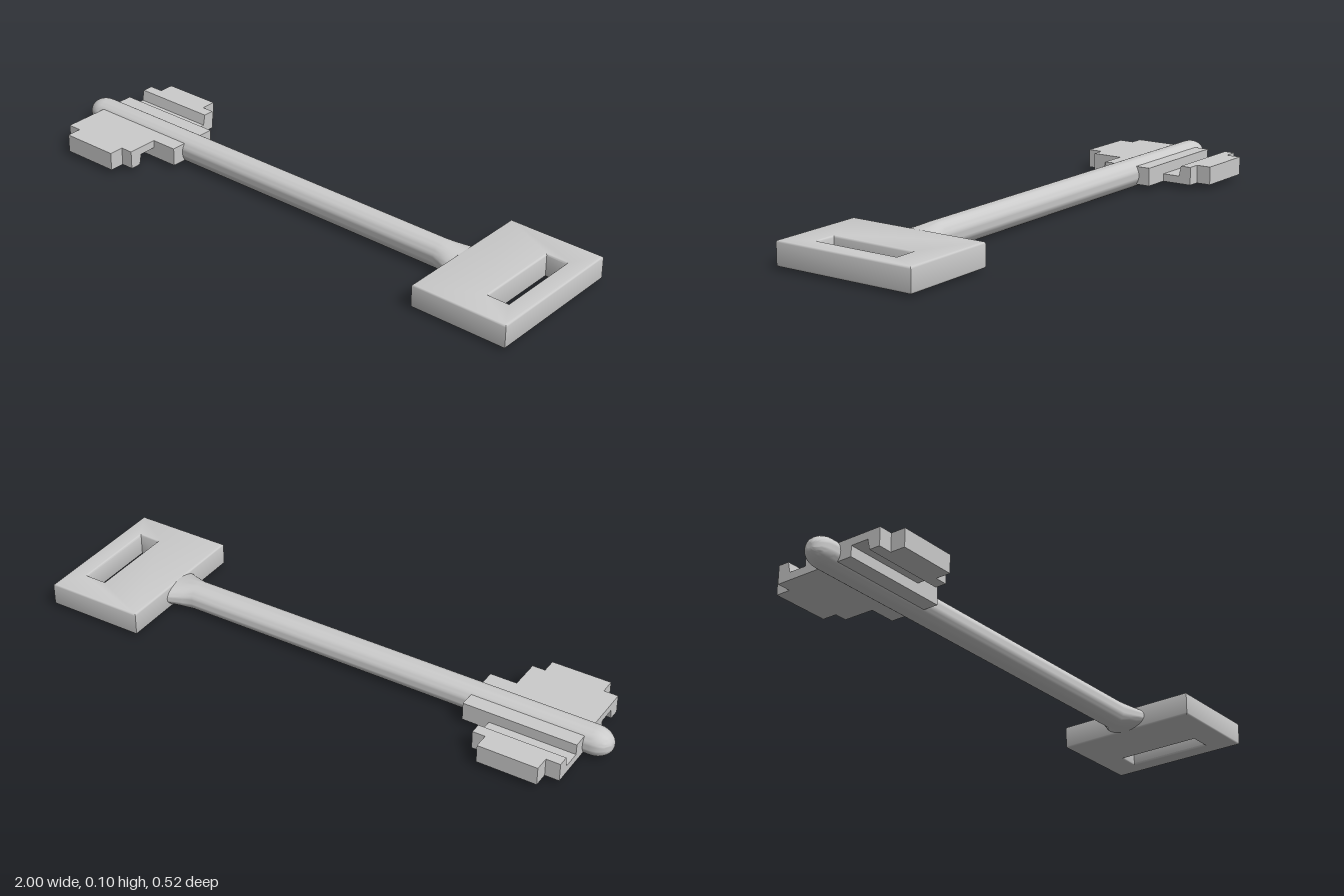
import * as THREE from 'three';
import { toCreasedNormals } from 'three/addons/utils/BufferGeometryUtils.js';

const R = 0.05; // shaft radius, also the height of the centre line
const material = new THREE.MeshStandardMaterial({ color: 0xcccccc });

function part(name, geometry) {
  const mesh = new THREE.Mesh(geometry, material);
  mesh.name = name;
  return mesh;
}

// Round shaft with a domed tip and a flared, flattened neck at the bow
function makeShaft() {
  const pts = [];
  const dome = 0.065;
  for (let i = 0; i <= 8; i++) {
    const a = (i / 8) * Math.PI / 2;
    pts.push(new THREE.Vector2(R * Math.sin(a), -1 + dome * (1 - Math.cos(a))));
  }
  for (const x of [0.57, 0.6, 0.63, 0.66]) pts.push(new THREE.Vector2(R, x));
  const g = new THREE.LatheGeometry(pts, 40).rotateZ(-Math.PI / 2);
  const p = g.attributes.position;
  for (let i = 0; i < p.count; i++) {
    const t = Math.max(0, (p.getX(i) - 0.57) / 0.09);
    p.setY(i, p.getY(i) * (1 - 0.2 * t));
    p.setZ(i, p.getZ(i) * (1 + 0.7 * t));
  }
  g.computeVertexNormals();
  return part('shaft', toCreasedNormals(g, 0.6));
}

function rectangle(path, x0, x1, z) {
  path.moveTo(x0, -z).lineTo(x1, -z).lineTo(x1, z).lineTo(x0, z).closePath();
  return path;
}

// Rectangular bow with a slot and softened edges
function makeBow() {
  const shape = rectangle(new THREE.Shape(), 0.65, 1, 0.259);
  shape.holes.push(rectangle(new THREE.Path(), 0.86, 0.935, 0.154));
  const bevel = 0.007, height = 0.083;
  const g = new THREE.ExtrudeGeometry(shape, {
    depth: height - 2 * bevel, bevelEnabled: true, bevelSize: bevel,
    bevelThickness: bevel, bevelOffset: -bevel, bevelSegments: 3,
  });
  g.rotateX(Math.PI / 2).translate(0, height / 2 - bevel, 0);
  return part('bow', toCreasedNormals(g, 0.7));
}

// One stepped blade reaching towards -z, with a groove along its upper face
function makeBlade(name) {
  const h = 0.032, floor = -0.005;
  const blade = new THREE.Group();
  blade.name = name;
  const profile = [[0, -h], [0.203, -h], [0.203, h], [0.164, h], [0.156, floor], [0.092, floor], [0.092, h], [0, h]];
  const shape = new THREE.Shape(profile.map(([a, y]) => new THREE.Vector2(a, y)));
  const core = new THREE.ExtrudeGeometry(shape, { depth: 0.305, bevelEnabled: false });
  core.rotateY(Math.PI / 2).translate(-0.915, 0, 0);
  blade.add(part('groovedPlate', core));
  const steps = [['outerStep', -0.865, -0.655, 0.2, 0.256], ['shoulderStep', -0.612, -0.515, 0, 0.092]];
  for (const [label, x0, x1, z0, z1] of steps) {
    const g = new THREE.BoxGeometry(x1 - x0, 2 * h, z1 - z0);
    g.translate((x0 + x1) / 2, 0, -(z0 + z1) / 2);
    blade.add(part(label, g));
  }
  return blade;
}

export function createModel() {
  const key = new THREE.Group();
  key.name = 'key';
  key.add(makeShaft(), makeBow(), makeBlade('backBlade'));
  // The front blade is the back one turned half way round the shaft
  const front = makeBlade('frontBlade');
  front.rotation.x = Math.PI;
  key.add(front);
  for (const child of key.children) child.position.y = R;
  return key;
}
